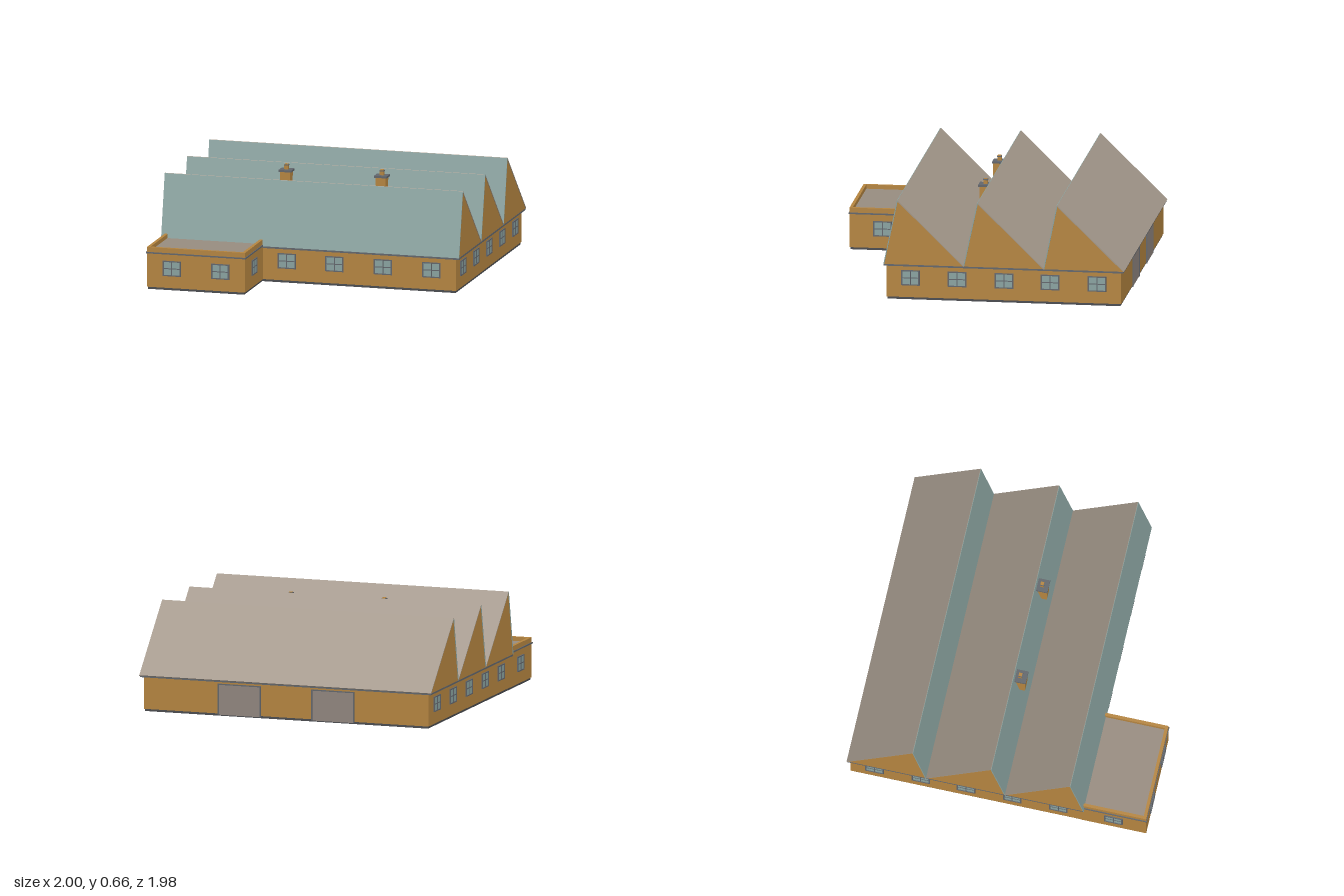
import * as THREE from 'three';

const mat = (name, color) => {
  const m = new THREE.MeshStandardMaterial({ color });
  m.name = name;
  return m;
};

export function createModel() {
  const wall = mat('ochre brick', 0xb58540);
  const glass = mat('pale teal glass', 0x8aa3a0);
  const roof = mat('taupe roofing', 0xa2978a);
  const flat = mat('flat roof taupe', 0x978c80);
  const door = mat('grey door', 0x90867f);
  const trim = mat('slate trim', 0x62666c);
  const base = mat('dark plinth', 0x4a4c50);

  const model = new THREE.Group();
  model.name = 'sawtoothFactory';

  // Box given by its limits on each axis
  const box = (name, material, [x0, x1], [y0, y1], [z0, z1], parent = model) => {
    const mesh = new THREE.Mesh(new THREE.BoxGeometry(x1 - x0, y1 - y0, z1 - z0), material);
    mesh.position.set((x0 + x1) / 2, (y0 + y1) / 2, (z0 + z1) / 2);
    mesh.name = name;
    parent.add(mesh);
    return mesh;
  };

  // Main hall
  box('hallPlinth', base, [-0.97, 0.97], [0, 0.015], [-0.962, 0.555]);
  box('hallWalls', wall, [-0.975, 0.975], [0.015, 0.225], [-0.968, 0.56]);
  box('eaves', trim, [-0.998, 0.998], [0.224, 0.235], [-0.985, 0.577]);

  // Sawtooth roof: steep glazed face in front, long slope behind
  const panel = (name, material, [z0, y0], [z1, y1]) => {
    const dz = z1 - z0, dy = y1 - y0;
    const mesh = new THREE.Mesh(new THREE.BoxGeometry(2, 0.006, Math.hypot(dz, dy)), material);
    mesh.position.set(0, (y0 + y1) / 2, (z0 + z1) / 2);
    mesh.rotation.x = Math.atan2(-dy, dz);
    mesh.name = name;
    model.add(mesh);
  };
  const teeth = [[0.575, 0.487, 0.055], [0.055, -0.035, -0.467], [-0.467, -0.553, -0.988]];
  for (const [front, ridge, back] of teeth) {
    const a = [front, 0.235], b = [ridge, 0.658], c = [back, 0.235];
    // The profile is drawn with -z along its x axis, then turned to run along x
    const shape = new THREE.Shape([a, b, c].map(([z, y]) => new THREE.Vector2(-z, y)));
    const geo = new THREE.ExtrudeGeometry(shape, { depth: 1.994, bevelEnabled: false });
    geo.translate(0, 0, -0.997).rotateY(Math.PI / 2);
    const gable = new THREE.Mesh(geo, wall);
    gable.name = 'gables';
    model.add(gable);
    panel('roofGlazing', glass, a, b);
    panel('roofSlope', roof, b, c);
  }

  // Office annex with parapet
  const L = -0.977, R = -0.32, F = 0.985;
  box('annexPlinth', base, [L + 0.006, R - 0.006], [0, 0.015], [0.55, F - 0.006]);
  box('annexWalls', wall, [L, R], [0.015, 0.236], [0.55, F]);
  box('annexBand', trim, [L - 0.006, R + 0.006], [0.236, 0.245], [0.56, F + 0.005]);
  box('annexRoof', flat, [L + 0.015, R - 0.015], [0.24, 0.25], [0.55, F - 0.015]);
  box('parapetFront', wall, [L, R], [0.245, 0.277], [F - 0.02, F]);
  box('parapetRight', wall, [L, L + 0.02], [0.245, 0.277], [0.555, F - 0.02]);
  box('parapetLeft', wall, [R - 0.02, R], [0.245, 0.277], [0.555, F - 0.02]);

  // Window: pane, frame, mullions, lintel and sill, built facing +z
  const addWindow = (x, z, turn) => {
    const w = new THREE.Group();
    w.name = 'window';
    box('pane', glass, [-0.055, 0.055], [-0.045, 0.045], [-0.004, 0.003], w);
    for (const s of [-1, 1]) {
      box('jamb', trim, s < 0 ? [-0.061, -0.052] : [0.052, 0.061], [-0.05, 0.05], [-0.004, 0.007], w);
      box('rail', trim, [-0.055, 0.055], s < 0 ? [-0.05, -0.043] : [0.043, 0.05], [-0.004, 0.008], w);
    }
    box('mullion', trim, [-0.003, 0.003], [-0.045, 0.045], [-0.004, 0.006], w);
    box('transom', trim, [-0.055, 0.055], [-0.004, 0.002], [-0.004, 0.005], w);
    w.position.set(x, 0.144, z);
    w.rotation.y = turn;
    model.add(w);
  };
  for (const x of [-0.16, 0.16, 0.485, 0.81]) addWindow(x, 0.56, 0);
  for (const x of [-0.81, -0.485]) addWindow(x, F, 0);
  for (const z of [0.405, 0.1, -0.205, -0.505, -0.81]) {
    addWindow(0.975, z, Math.PI / 2);
    addWindow(-0.975, z, -Math.PI / 2);
  }
  addWindow(R, 0.77, Math.PI / 2);
  addWindow(L, 0.77, -Math.PI / 2);

  // Loading doors at the back and chimneys above
  for (const x of [-0.32, 0.32]) {
    box('loadingDoor', door, [x - 0.14, x + 0.14], [0.008, 0.205], [-0.972, -0.96]);
    for (const s of [-1, 1])
      box('doorPost', trim, [x + s * 0.143 - 0.004, x + s * 0.143 + 0.004], [0.008, 0.21], [-0.976, -0.96]);
    box('doorLintel', trim, [x - 0.147, x + 0.147], [0.204, 0.211], [-0.976, -0.96]);

    box('chimneyStack', wall, [x - 0.034, x + 0.034], [0.465, 0.612], [-0.03, 0.044]);
    box('chimneyCap', trim, [x - 0.043, x + 0.043], [0.612, 0.625], [-0.036, 0.05]);
    box('chimneyPot', wall, [x - 0.013, x + 0.013], [0.625, 0.65], [-0.006, 0.02]);
    box('chimneyPotRim', trim, [x - 0.015, x + 0.015], [0.65, 0.656], [-0.008, 0.022]);
    box('chimneyPotTop', wall, [x - 0.011, x + 0.011], [0.656, 0.66], [-0.004, 0.018]);
  }
  return model;
}
